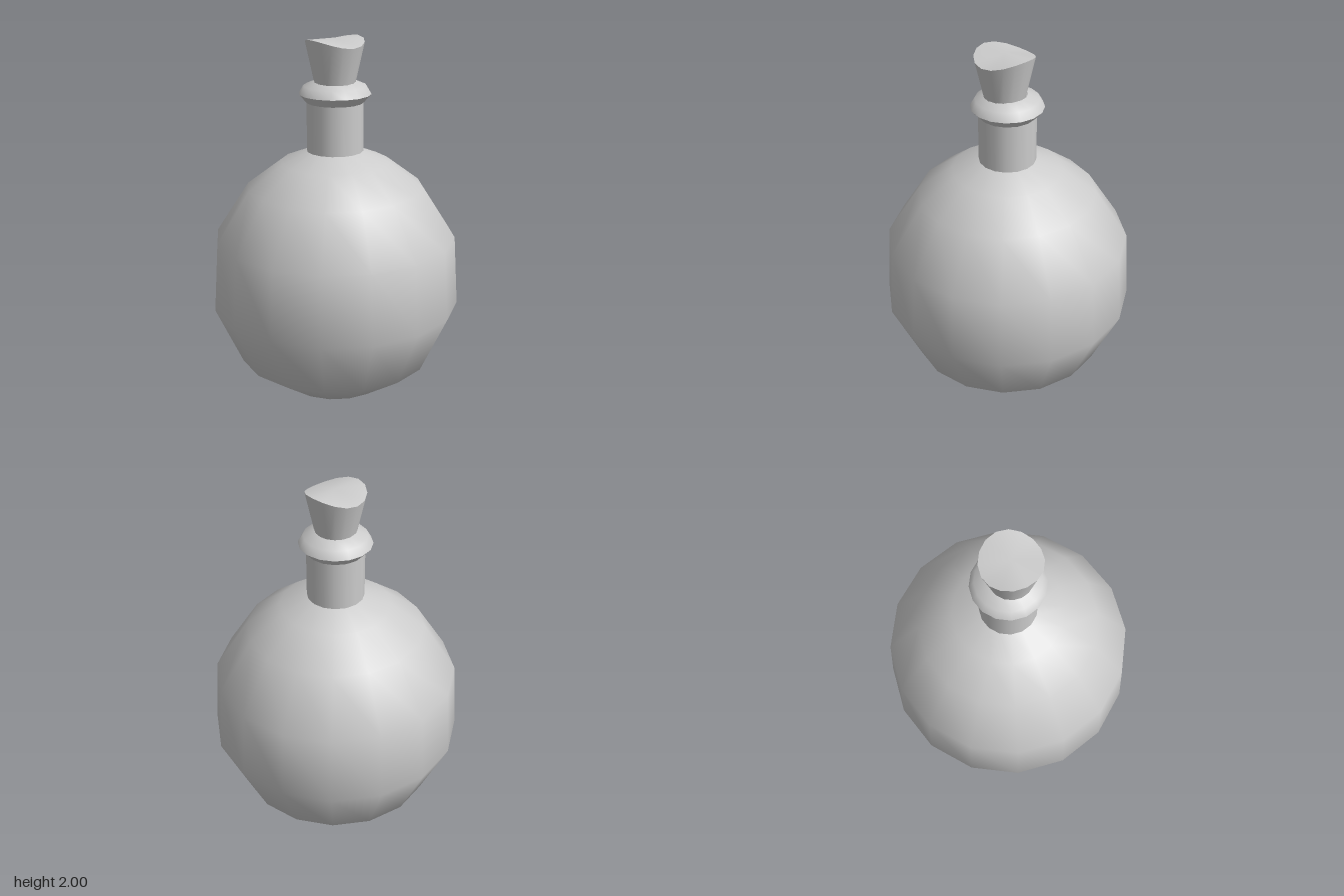
import * as THREE from 'three';
import { toCreasedNormals } from 'three/addons/utils/BufferGeometryUtils.js';

const SIDES = 16;

export function createModel() {
  const group = new THREE.Group();
  const material = new THREE.MeshStandardMaterial({ color: 0xcccccc, side: THREE.DoubleSide });

  const add = (name, geometry) => {
    const mesh = new THREE.Mesh(geometry, material);
    mesh.name = name;
    group.add(mesh);
    return mesh;
  };
  const lathe = (profile) =>
    new THREE.LatheGeometry(profile.map(([r, y]) => new THREE.Vector2(r, y)), SIDES);

  // Round belly, smooth shaded with a coarse outline
  add('body', lathe([
    [0, 0], [0.28, 0.05], [0.53, 0.22], [0.68, 0.545],
    [0.655, 0.925], [0.478, 1.2], [0.295, 1.338], [0.15, 1.397],
  ]));

  // Straight neck
  add('neck', lathe([[0.152, 1.397], [0.152, 1.66]]));

  // Flared lip: hard edge below, rounded shoulder above
  add('lipUnderside', lathe([[0.152, 1.66], [0.193, 1.705]]));
  add('lip', lathe([[0.193, 1.705], [0.168, 1.748], [0.105, 1.775]]));

  // Tapered stopper, slightly off centre, its top falling away to both sides
  const bottom = 1.7, top = 2, topRadius = 0.156;
  const stopper = new THREE.CylinderGeometry(topRadius, 0.095, top - bottom, 16);
  stopper.translate(0, (top + bottom) / 2, 0);
  const p = stopper.attributes.position;
  for (let i = 0; i < p.count; i++) {
    if (p.getY(i) > top - 0.01) p.setY(i, top - 0.04 * (p.getX(i) / topRadius) ** 2);
  }
  add('stopper', toCreasedNormals(stopper, 0.9)).position.set(0.01, 0, 0.01);

  return group;
}
